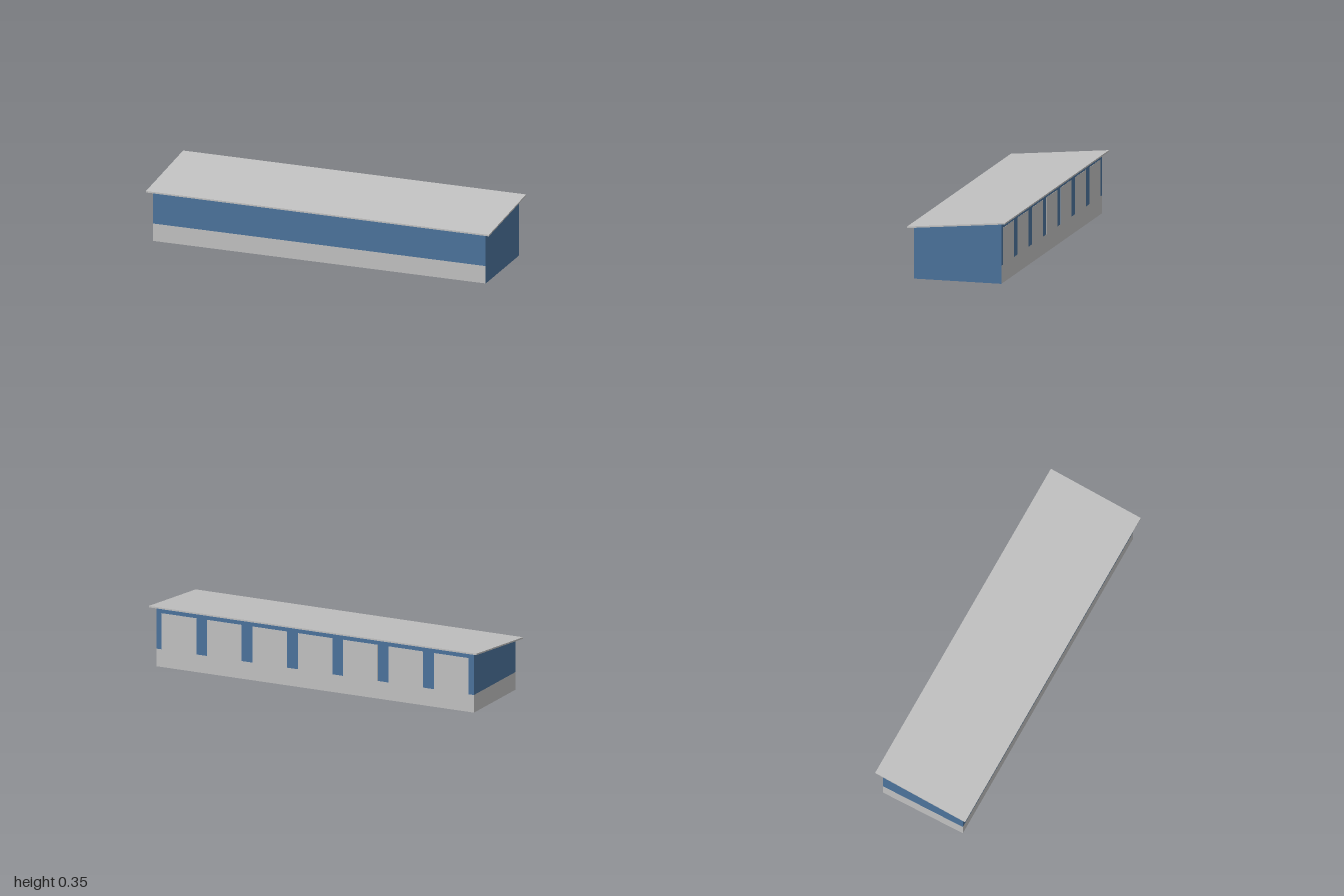
import * as THREE from 'three';

const WIDTH = 1.94, DEPTH = 0.495, BASE_H = 0.1;
const ROOF_H = 0.311, SLOPE = -0.0955; // roof underside height at z = 0, and its pitch

// Height of the roof underside at depth z
const underside = (z) => ROOF_H + SLOPE * z;

// Box from y0 to y1 whose vertices can be lifted by a rule on (y, z)
function slab(w, y0, y1, d, rule) {
  const g = new THREE.BoxGeometry(w, y1 - y0, d).translate(0, (y0 + y1) / 2, 0);
  if (rule) {
    const p = g.attributes.position;
    for (let i = 0; i < p.count; i++) p.setY(i, rule(p.getY(i), p.getZ(i)));
    g.computeVertexNormals();
  }
  return g;
}

export function createModel() {
  const model = new THREE.Group();
  model.name = 'shed';
  const grey = new THREE.MeshStandardMaterial({ color: 0xc0c0c0 });
  grey.name = 'light grey';
  const blue = new THREE.MeshStandardMaterial({ color: 0x4b729b });
  blue.name = 'steel blue';

  function add(name, geometry, material) {
    const mesh = new THREE.Mesh(geometry, material);
    mesh.name = name;
    model.add(mesh);
    return mesh;
  }

  // Low plinth: grey all round except the blue left end
  add('plinth', slab(WIDTH, 0, BASE_H, DEPTH), [blue, grey, grey, grey, grey, grey]);

  // Upper walls, their top following the roof pitch
  add('upperWalls', slab(WIDTH, BASE_H, ROOF_H, DEPTH,
    (y, z) => (y > 0.2 ? underside(z) : y)), blue);

  // Sloping roof sheet with vertical edges
  add('roof', slab(2, 0, 0.0085, 0.556, (y, z) => underside(z) + y), grey);

  // Seven shutter doors along the back, with blue posts left between them
  const bays = 7, pitch = WIDTH / bays, post = 0.066, doorTop = 0.305;
  for (let i = 0; i < bays; i++) {
    const door = add('rearDoor' + (i + 1),
      slab(pitch - post, BASE_H, doorTop, 0.002), grey);
    door.position.set((i - (bays - 1) / 2) * pitch, 0, -DEPTH / 2);
  }

  return model;
}
